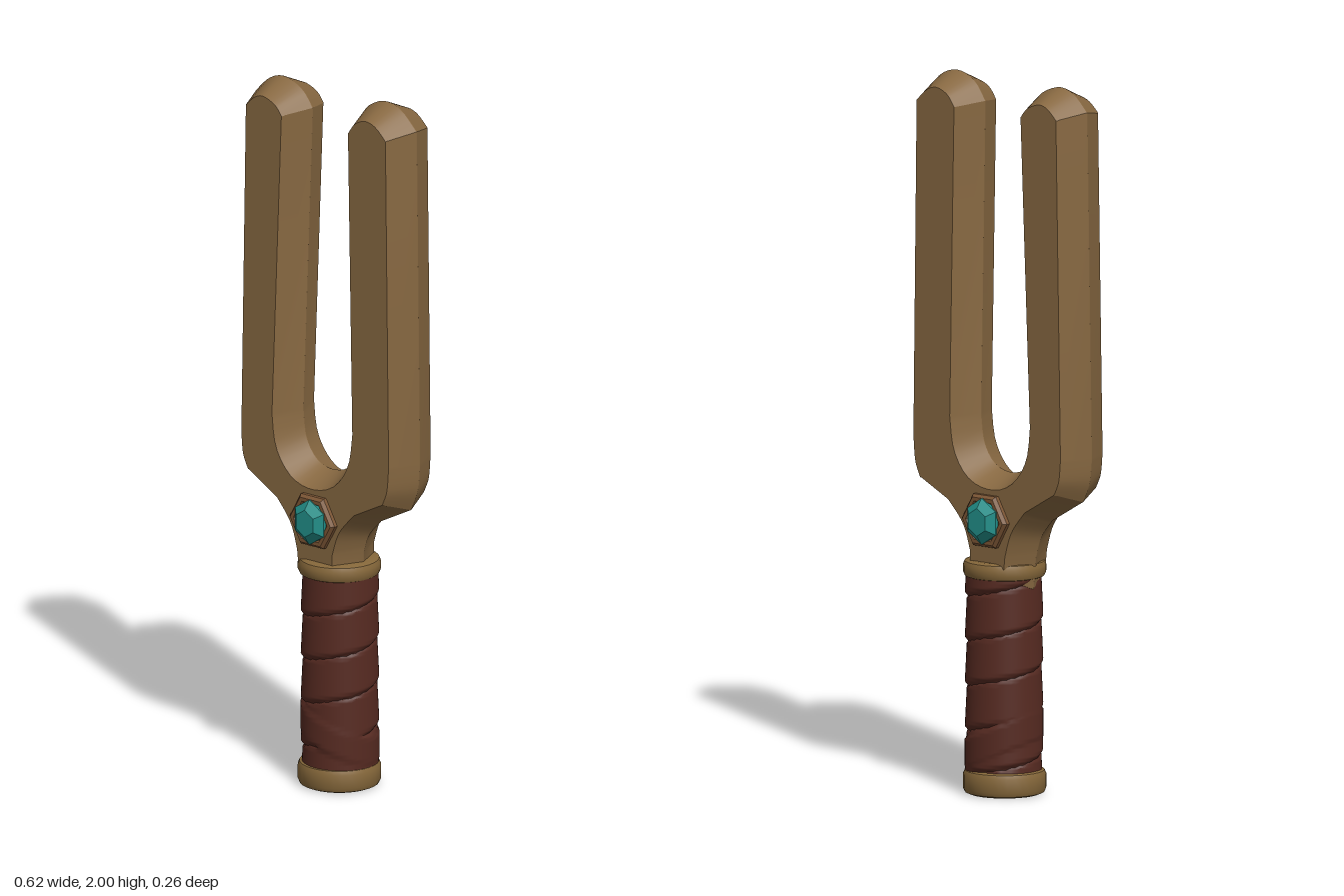
import * as THREE from 'three';
import { toCreasedNormals } from 'three/addons/utils/BufferGeometryUtils.js';

const mat = (name, color) => {
  const m = new THREE.MeshStandardMaterial({ color });
  m.name = name;
  return m;
};
const V = (x, y) => new THREE.Vector2(x, y);

export function createModel() {
  const bronze = mat('bronze', 0x876841);
  const brass = mat('brass', 0x85673a);
  const settingBrown = mat('setting brown', 0x7c5635);
  const leather = mat('leather', 0x562a21);
  const teal = mat('teal', 0x22908a);

  const model = new THREE.Group();
  model.name = 'twoProngedFork';
  const add = (name, geometry, material, parent = model) => {
    const mesh = new THREE.Mesh(geometry, material);
    mesh.name = name;
    parent.add(mesh);
    return mesh;
  };

  // Fork: one outline whose edge rises to a ridge at mid depth
  const s = new THREE.Shape();
  s.moveTo(0.1, 0.58);
  s.lineTo(0.1, 0.68);
  s.splineThru([V(0.12, 0.735), V(0.165, 0.785)]);
  s.lineTo(0.275, 0.84);
  s.splineThru([V(0.3, 0.9), V(0.308, 0.98)]);
  s.lineTo(0.296, 1.935);
  s.splineThru([V(0.24, 1.985), V(0.18, 2.0), V(0.12, 1.975), V(0.082, 1.925)]);
  s.lineTo(0.098, 1.05);
  s.splineThru([V(0.085, 0.97), V(0.045, 0.915), V(-0.015, 0.898), V(-0.07, 0.915), V(-0.11, 0.97), V(-0.122, 1.05)]);
  s.lineTo(-0.087, 1.925);
  s.splineThru([V(-0.125, 1.97), V(-0.19, 1.995), V(-0.245, 1.98), V(-0.294, 1.935)]);
  s.lineTo(-0.311, 0.97);
  s.splineThru([V(-0.303, 0.9), V(-0.278, 0.845)]);
  s.lineTo(-0.165, 0.78);
  s.splineThru([V(-0.125, 0.73), V(-0.105, 0.67)]);
  s.lineTo(-0.095, 0.58);
  s.closePath();
  const fork = new THREE.ExtrudeGeometry(s, {
    depth: 0.002, curveSegments: 3, bevelSegments: 1,
    bevelThickness: 0.086, bevelSize: 0.038, bevelOffset: -0.038,
  });
  fork.translate(0, 0, -0.001);
  add('fork', toCreasedNormals(fork, 0.4), bronze);

  // Collar and pommel: rounded discs
  const disc = (name, y0, y1, r, b) => {
    const profile = [V(0, y0), V(r - b, y0), V(r - b * 0.3, y0 + b * 0.3), V(r, y0 + b),
      V(r, y1 - b), V(r - b * 0.3, y1 - b * 0.3), V(r - b, y1), V(0, y1)];
    const g = toCreasedNormals(new THREE.LatheGeometry(profile, 32), 0.6);
    add(name, g, brass).position.x = 0.011;
  };
  disc('collar', 0.605, 0.655, 0.115, 0.016);
  disc('pommel', 0, 0.07, 0.115, 0.016);

  // Grip: spiral leather wrap with one strap crossing near the foot
  const pitch = 0.125;
  const grip = new THREE.CylinderGeometry(1, 1, 0.56, 48, 96, true);
  grip.translate(0, 0.335, 0);
  const p = grip.attributes.position;
  for (let i = 0; i < p.count; i++) {
    const x = p.getX(i), y = p.getY(i), z = p.getZ(i);
    const angle = Math.atan2(x, z);
    const turn = y / pitch - angle / (2 * Math.PI);
    const t = turn - Math.floor(turn);
    const wrap = 0.011 * THREE.MathUtils.smoothstep(t, 0, 0.14) * (1 - 0.55 * t);
    const off = Math.abs(y - 0.155 + 0.045 * Math.sin(angle - 0.4));
    const strap = 0.011 * (1 - THREE.MathUtils.smoothstep(off, 0.036, 0.05));
    const r = 0.098 + Math.max(wrap, strap);
    p.setXYZ(i, x * r, y, z * r);
  }
  add('grip', toCreasedNormals(grip, 0.9), leather).position.x = 0.013;

  // Gem in a six-sided setting, on both faces
  const faceted = (profile, sides, turn) => {
    const g = new THREE.LatheGeometry(profile, sides, turn);
    g.rotateX(Math.PI / 2);
    return toCreasedNormals(g, 0.1);
  };
  for (const side of [1, -1]) {
    const jewel = new THREE.Group();
    jewel.name = side > 0 ? 'frontJewel' : 'backJewel';
    jewel.position.set(-0.002, 0.773, 0);
    jewel.rotation.y = side > 0 ? 0 : Math.PI;
    add('setting', faceted([V(0.083, 0.075), V(0.083, 0.098), V(0.074, 0.107),
      V(0.062, 0.107), V(0.056, 0.1), V(0, 0.1)], 6, Math.PI / 2), settingBrown, jewel);
    const gem = add('gem', faceted([V(0.06, 0.095), V(0.06, 0.11), V(0.036, 0.13), V(0, 0.13)], 6, 0), teal, jewel);
    gem.scale.y = 1.08;
    model.add(jewel);
  }
  return model;
}
